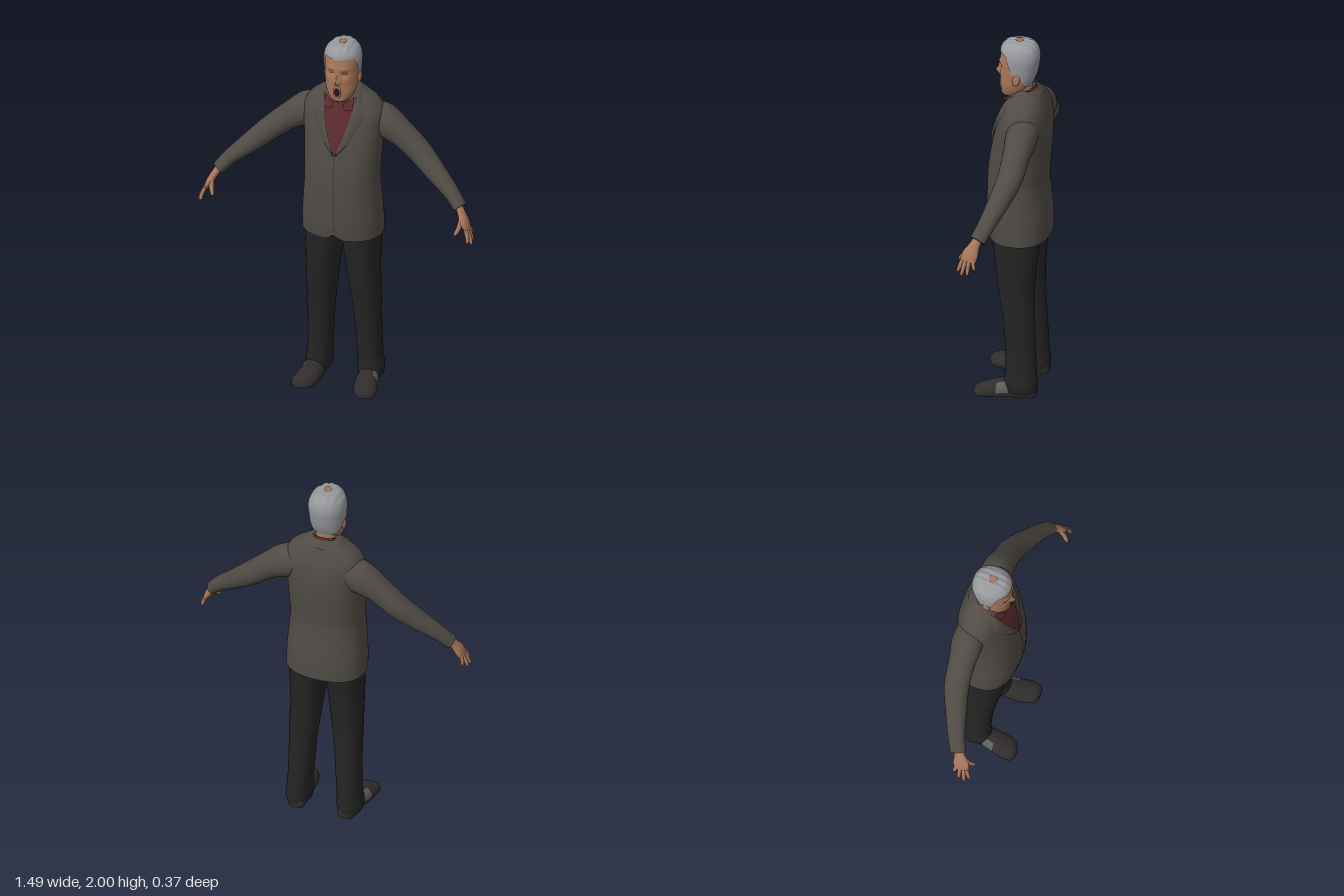
import * as THREE from 'three';
import { toCreasedNormals } from 'three/addons/utils/BufferGeometryUtils.js';

const PI = Math.PI;
const mat = (name, color) => Object.assign(new THREE.MeshStandardMaterial({ color, side: THREE.DoubleSide }), { name });
const M = {
  jacket: mat('jacket cloth', 0x504b45), seam: mat('jacket seam', 0x3d3934),
  shirt: mat('shirt cloth', 0x5c2a2d), trousers: mat('trouser cloth', 0x242425),
  skin: mat('skin', 0xa9765a), lid: mat('skin crease', 0x71493a), hair: mat('hair', 0x97999c),
  shoe: mat('shoe leather', 0x302d2c), panel: mat('shoe panel', 0x5e5e5e), mouth: mat('mouth', 0x28130f),
};

// Smooth interpolation of table rows keyed by their first column
function at(rows, k) {
  const n = rows.length - 1;
  let i = 0;
  while (i < n - 1 && k > rows[i + 1][0]) i++;
  const a = rows[i], b = rows[i + 1], p = rows[Math.max(i - 1, 0)], q = rows[Math.min(i + 2, n)];
  const h = b[0] - a[0], t = THREE.MathUtils.clamp((k - a[0]) / h, 0, 1), t2 = t * t, t3 = t2 * t;
  return a.map((v, c) => (2 * t3 - 3 * t2 + 1) * v + (3 * t2 - 2 * t3) * b[c] +
    (t3 - 2 * t2 + t) * h * (b[c] - p[c]) / (b[0] - p[0]) + (t3 - t2) * h * (q[c] - a[c]) / (q[0] - a[0]));
}
const range = (a, b, n) => Array.from({ length: n + 1 }, (_, i) => a + (b - a) * i / n);
const keys = (rows, sub) => rows.slice(1).flatMap((r, i) => range(rows[i][0], r[0], sub).slice(i ? 1 : 0));
const turn = n => range(0, 2 * PI, n);
const spow = (v, e) => Math.sign(v) * Math.abs(v) ** e;

// Surface through fn(k, a) points; capped when solid, faces turned outward
function surface(fn, ks, as, solid = false, s = 1) {
  const pos = [], idx = [], w = as.length;
  ks.forEach(k => as.forEach(a => { const p = fn(k, a); pos.push(100 * s * p[0], 100 * p[1], 100 * p[2]); }));
  for (let i = 0; i < ks.length - 1; i++) for (let j = 0; j < w - 1; j++) {
    const o = i * w + j;
    idx.push(o, o + 1, o + w, o + 1, o + w + 1, o + w);
  }
  if (solid) for (const row of [0, ks.length - 1]) {
    const c = [0, 0, 0], o = row * w, m = pos.length / 3;
    for (let j = 0; j < w - 1; j++) for (let d = 0; d < 3; d++) c[d] += pos[(o + j) * 3 + d] / (w - 1);
    pos.push(...c);
    for (let j = 0; j < w - 1; j++) idx.push(m, ...(row ? [o + j, o + j + 1] : [o + j + 1, o + j]));
  }
  let geo = new THREE.BufferGeometry();
  geo.setAttribute('position', new THREE.Float32BufferAttribute(pos, 3));
  geo.computeBoundingBox();
  const ref = new THREE.Vector3(0, (geo.boundingBox.min.y + geo.boundingBox.max.y) / 2, -3);
  const v = i => new THREE.Vector3().fromArray(pos, i * 3).sub(ref);
  let vol = 0;
  for (let i = 0; i < idx.length; i += 3) vol += v(idx[i]).dot(v(idx[i + 1]).cross(v(idx[i + 2])));
  geo.setIndex(vol < 0 ? idx.reverse() : idx);
  geo = toCreasedNormals(geo, 1);
  return geo.scale(0.01, 0.01, 0.01);
}

// Point on a horizontal slice; rows are [y, centreX, halfWidth, zFront, zBack], angle 0 faces front
function slice(rows, y, a, grow = 0, n = 2.2) {
  const [, cx, rx, zf, zb] = at(rows, y);
  return [cx + (rx + grow) * spow(Math.sin(a), 2 / n), y, (zf + zb) / 2 + ((zf - zb) / 2 + grow) * spow(Math.cos(a), 2 / n)];
}
// Tube along rows [t, x, y, z, radius across z, radius in the bend plane]
function limb(rows, sub, seg, s) {
  const fn = (k, a) => {
    const r = at(rows, k), e = 0.02, b = at(rows, Math.min(k + e, 1)), c = at(rows, Math.max(k - e, 0));
    const t = new THREE.Vector3(b[1] - c[1], b[2] - c[2], b[3] - c[3]).normalize();
    const u = new THREE.Vector3(0, 0, 1).addScaledVector(t, -t.z).normalize(), v = u.clone().cross(t);
    return new THREE.Vector3(r[1], r[2], r[3]).addScaledVector(u, r[4] * Math.cos(a)).addScaledVector(v, r[5] * Math.sin(a)).toArray();
  };
  return surface(fn, keys(rows, sub), turn(seg), true, s);
}

const TORSO = [
  [0.89, 0, 0.213, 0.138, -0.18], [1.0, 0, 0.211, 0.15, -0.18], [1.2, 0, 0.197, 0.15, -0.162],
  [1.3, 0, 0.199, 0.143, -0.168], [1.42, 0, 0.205, 0.124, -0.177], [1.52, 0, 0.213, 0.1, -0.178],
  [1.6, 0, 0.212, 0.075, -0.168], [1.655, 0, 0.18, 0.052, -0.15], [1.7, 0, 0.12, 0.028, -0.128], [1.73, 0, 0.082, 0.0, -0.105]];
const LEG = [
  [0.025, 0.14, 0.064, 0.028, -0.135], [0.06, 0.141, 0.068, 0.036, -0.138], [0.12, 0.137, 0.064, 0.03, -0.134],
  [0.25, 0.13, 0.066, 0.032, -0.128], [0.4, 0.125, 0.071, 0.042, -0.122], [0.6, 0.113, 0.083, 0.072, -0.118],
  [0.75, 0.105, 0.092, 0.092, -0.128], [0.88, 0.1, 0.1, 0.105, -0.145], [0.97, 0.1, 0.1, 0.11, -0.15]];
const HEAD = [
  [1.675, 0, 0.028, 0.066, 0.0], [1.69, 0, 0.05, 0.08, -0.025], [1.72, 0, 0.07, 0.085, -0.05],
  [1.76, 0, 0.083, 0.088, -0.075], [1.81, 0, 0.088, 0.089, -0.095], [1.86, 0, 0.09, 0.09, -0.105],
  [1.91, 0, 0.091, 0.087, -0.11], [1.95, 0, 0.08, 0.08, -0.102], [1.972, 0, 0.062, 0.065, -0.088],
  [1.987, 0, 0.038, 0.042, -0.066], [1.992, 0, 0.008, 0, -0.02]];
const NECK = [[1.6, 0, 0.068, 0.032, -0.1], [1.68, 0, 0.062, 0.045, -0.085], [1.78, 0, 0.06, 0.05, -0.075]];
const ARM = [
  [0, 0.12, 1.56, -0.07, 0.075, 0.08], [0.16, 0.205, 1.53, -0.07, 0.083, 0.092], [0.32, 0.3, 1.472, -0.065, 0.071, 0.072],
  [0.5, 0.4, 1.388, -0.055, 0.066, 0.064], [0.7, 0.5, 1.3, -0.02, 0.056, 0.054], [0.88, 0.6, 1.215, 0.02, 0.045, 0.04],
  [1, 0.655, 1.155, 0.05, 0.042, 0.034]];
const PALM = [[0, 0.635, 1.185, 0.04, 0.024, 0.02], [0.35, 0.665, 1.135, 0.062, 0.028, 0.019],
  [0.7, 0.69, 1.09, 0.08, 0.043, 0.019], [1, 0.708, 1.055, 0.09, 0.04, 0.012]];
// Digits: base point then tip point
const DIGITS = [
  [0.705, 1.065, 0.118, 0.722, 1.0, 0.138], [0.708, 1.06, 0.101, 0.736, 0.986, 0.116],
  [0.706, 1.062, 0.082, 0.733, 0.99, 0.086], [0.7, 1.068, 0.063, 0.718, 1.015, 0.053],
  [0.675, 1.115, 0.095, 0.658, 1.04, 0.142]];
const SHOE = [ // z, centreX, halfWidth, height
  [-0.132, 0.135, 0.03, 0.05], [-0.11, 0.136, 0.045, 0.075], [-0.02, 0.142, 0.05, 0.09], [0.05, 0.15, 0.058, 0.084],
  [0.12, 0.162, 0.064, 0.062], [0.165, 0.17, 0.052, 0.048], [0.185, 0.174, 0.028, 0.03]];
const HAIRLINE = [[0, 1.935], [0.6, 1.94], [1, 1.93], [1.25, 1.885], [1.45, 1.835], [1.65, 1.835], [1.9, 1.81], [2.2, 1.77], [PI, 1.752]];
const OPENING = [[1.39, 0.003], [1.5, 0.042], [1.6, 0.068], [1.66, 0.08], [1.71, 0.088]];
const LAPEL = [[1.39, 0.008], [1.45, 0.06], [1.55, 0.112], [1.62, 0.142], [1.64, 0.125], [1.71, 0.1]];

// Point lying on the front of the torso
function chest(x, y, off) {
  const [, , rx, zf, zb] = at(TORSO, y);
  const f = Math.max(0, 1 - Math.abs(x / rx) ** 2.3) ** (1 / 2.3);
  return [x, y, (zf + zb) / 2 + (zf - zb) / 2 * f + off];
}
const bump = (x, y, w, h) => Math.exp(-((x / w) ** 2) - (y / h) ** 2);
function facePoint(y, a) {
  const p = slice(HEAD, y, a), x = p[0], m = Math.abs(x);
  if (Math.cos(a) > 0) p[2] += 0.023 * bump(x, y - 1.808, 0.016, 0.017) + 0.011 * bump(x, y - 1.84, 0.012, 0.03) +
    0.007 * bump(m - 0.035, y - 1.882, 0.025, 0.012) - 0.01 * bump(m - 0.035, y - 1.855, 0.018, 0.013) +
    0.005 * bump(m - 0.05, y - 1.815, 0.02, 0.02) + 0.005 * bump(x, y - 1.695, 0.025, 0.012);
  return p;
}
function shoePoint(z, a, off = 0) {
  const [, cx, w, h] = at(SHOE, z);
  return [cx + (w + off) * Math.cos(a), Math.max(0, (h + off) * (0.3 + 0.7 * Math.sin(a))), z];
}

export function createModel() {
  const root = new THREE.Group();
  root.name = 'standing man';
  const add = (name, geo, material) => {
    const m = new THREE.Mesh(geo, material);
    m.name = name;
    root.add(m);
    return m;
  };
  const pair = (name, make, material) => [1, -1].forEach(s => add((s > 0 ? 'left ' : 'right ') + name, make(s), material));

  // Jacket body with a small notch at the front hem
  add('jacket body', surface((y, a) => {
    const p = slice(TORSO, y, a, 0, 2.3);
    if (y < 0.9 && p[2] > 0) p[1] += Math.max(0, 0.045 * (1 - Math.abs(p[0]) / 0.035));
    return p;
  }, keys(TORSO, 4), turn(64), true), M.jacket);
  add('front seam', surface((y, x) => chest(x, y, 0.002), range(0.94, 1.39, 12), [-0.0025, 0.0025]), M.seam);
  pair('sleeve', s => limb(ARM, 5, 28, s), M.jacket);

  // Shirt front, lapels and collars
  add('shirt front', surface((y, u) => chest(u * at(OPENING, y)[1], y, 0.004), range(1.39, 1.675, 14), range(-1, 1, 12)), M.shirt);
  pair('lapel', s => surface((y, u) => {
    const a = at(OPENING, y)[1], b = at(LAPEL, y)[1];
    return chest(a + (b - a) * u, y, 0.004 + 0.01 * Math.sin(PI * (0.25 + 0.75 * u)));
  }, range(1.39, 1.71, 32), range(0, 1, 6), false, s), M.jacket);
  const collar = (r0, r1, y0, y1, tilt) => (k, a) => {
    const r = r0 + (r1 - r0) * k;
    return [r * Math.sin(a), y0 + (y1 - y0) * k - tilt * Math.cos(a), -0.022 + r * Math.cos(a)];
  };
  add('shirt collar', surface(collar(0.088, 0.073, 1.665, 1.715, 0.033), range(0, 1, 3), range(0.35, 2 * PI - 0.35, 40)), M.shirt);
  add('jacket collar', surface(collar(0.116, 0.083, 1.675, 1.715, 0.026), range(0, 1, 4), range(0.95, 2 * PI - 0.95, 40)), M.jacket);
  pair('collar point', s => surface((k, u) => {
    const x = 0.022 + 0.055 * u + 0.012 * k * (1 - u), y = 1.665 + 0.035 * u - k * (0.03 + 0.035 * u);
    return chest(x, y, 0.02 - 0.006 * k);
  }, range(0, 1, 4), range(0, 1, 4), false, s), M.shirt);

  // Trousers and shoes
  pair('trouser leg', s => surface((y, a) => slice(LEG, y, a), keys(LEG, 4), turn(32), true, s), M.trousers);
  pair('shoe', s => surface(shoePoint, keys(SHOE, 4), turn(28), true, s), M.shoe);
  pair('shoe panel', s => surface((z, a) => shoePoint(z, a, 0.002), range(0.005, 0.065, 6), range(0.0, 1.0, 8), false, s), M.panel);

  // Hands
  pair('palm', s => limb(PALM, 4, 16, s), M.skin);
  DIGITS.forEach(([x, y, z, tx, ty, tz], i) => {
    const r = i === 4 ? 0.0125 : 0.0105;
    const rows = [[0, x, y, z, r, r], [0.5, (x + tx) / 2 + 0.005, (y + ty) / 2, (z + tz) / 2, r, r],
      [0.9, tx, ty + 0.005, tz, r * 0.75, r * 0.75], [1, tx, ty, tz, r * 0.35, r * 0.35]];
    pair(i === 4 ? 'thumb' : 'finger', s => limb(rows, 3, 10, s), M.skin);
  });

  // Head and neck
  add('neck', surface((y, a) => slice(NECK, y, a), keys(NECK, 3), turn(28), true), M.skin);
  add('head', surface(facePoint, keys(HEAD, 6), turn(84), true), M.skin);
  const ball = new THREE.SphereGeometry(1, 20, 14);
  pair('ear', s => ball.clone().scale(0.011, 0.034, 0.02).rotateX(-0.2).translate(0.09 * s, 1.805, -0.014), M.skin);
  pair('closed eyelid', s => ball.clone().scale(0.017, 0.009, 0.008).translate(0.035 * s, 1.855, 0.071), M.skin);
  pair('eyelid line', s => new THREE.TorusGeometry(0.02, 0.0016, 5, 12, 1.5).rotateZ(-PI / 2 - 0.75)
    .rotateY(0.2 * s).translate(0.035 * s, 1.871, 0.079), M.lid);

  // Open mouth
  add('open mouth', ball.clone().scale(0.016, 0.031, 0.005).translate(0, 1.745, 0.088), M.mouth);
  add('lips', new THREE.TorusGeometry(0.017, 0.005, 8, 28).scale(1, 1.75, 1.2).translate(0, 1.745, 0.087), M.skin);

  // Hair shell combed into ridges, ending along the hairline
  add('hair', surface((k, a) => {
    const low = at(HAIRLINE, Math.min(a, 2 * PI - a))[1];
    const y = low + (1.992 - low) * Math.sin(k * PI / 2);
    const p = slice(HEAD, y, a, 0.006 + 0.004 * Math.sin(k * PI / 2));
    const ridge = 0.0025 * Math.sin(p[0] * 190 + 12 * p[2]) * Math.max(0, (y - 1.92) / 0.07);
    return [p[0], p[1] + 0.006 * k + ridge, p[2]];
  }, range(0, 1, 26), turn(84)), M.hair);

  return root;
}
